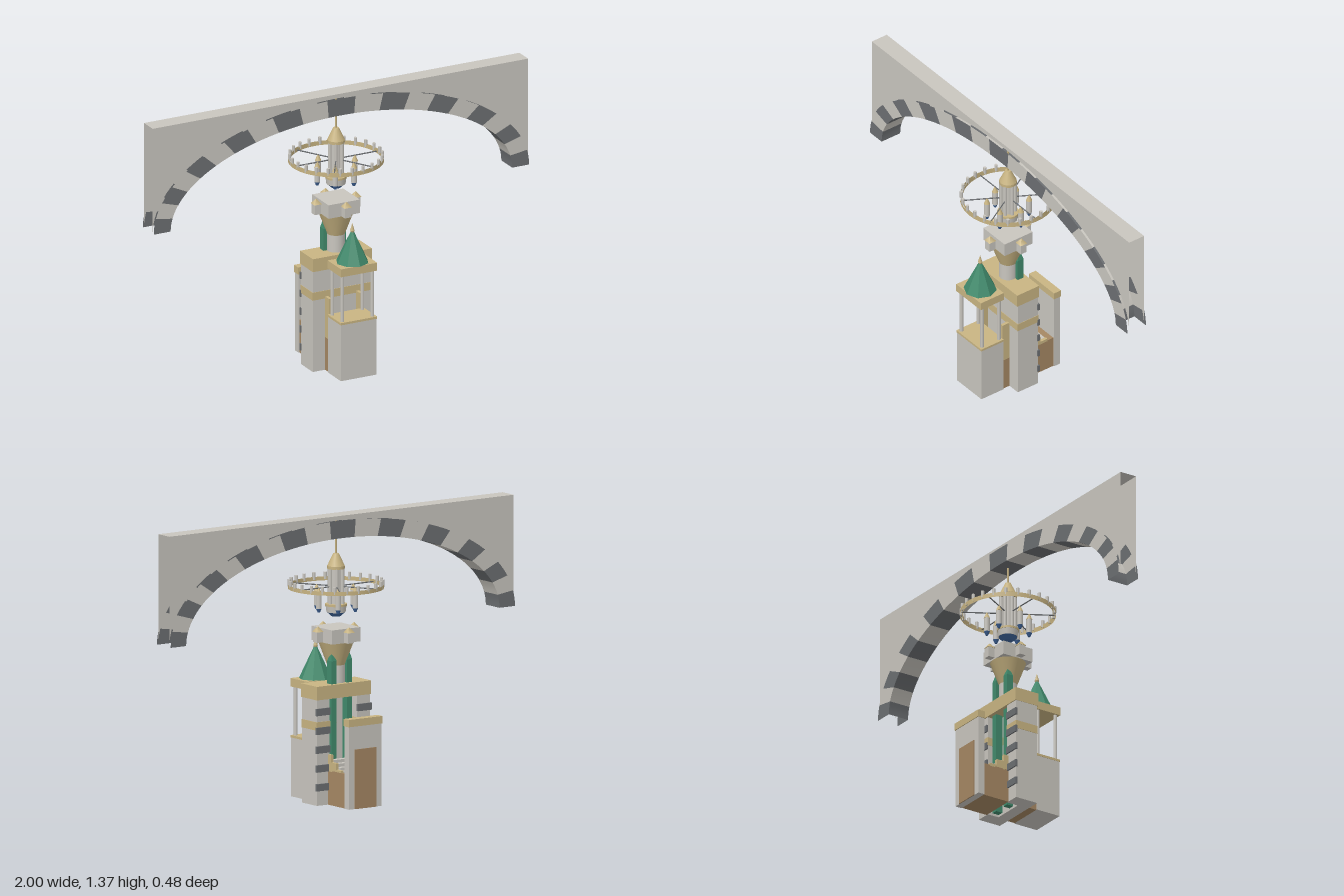
import * as THREE from 'three';

const mat = (name, color, side = THREE.FrontSide) => {
  const m = new THREE.MeshStandardMaterial({ color, side });
  m.name = name;
  return m;
};

export function createModel() {
  const root = new THREE.Group();
  const stone = mat('light stone', 0xc8c5be, THREE.DoubleSide);
  const dark = mat('dark stone', 0x6b6e71, THREE.DoubleSide);
  const sand = mat('sandstone', 0xc8b482, THREE.DoubleSide);
  const brown = mat('brown panel', 0xa58763);
  const green = mat('green roof', 0x418a6c);
  const blue = mat('blue glaze', 0x3f659c);
  green.flatShading = true;

  const add = (name, geo, m, x = 0, y = 0, z = 0, parent = root) => {
    const mesh = new THREE.Mesh(geo, m);
    mesh.name = name;
    mesh.position.set(x, y, z);
    parent.add(mesh);
    return mesh;
  };
  // box given by its limits on each axis
  const box = (name, m, x0, x1, y0, y1, z0, z1) =>
    add(name, new THREE.BoxGeometry(x1 - x0, y1 - y0, z1 - z0), m, (x0 + x1) / 2, (y0 + y1) / 2, (z0 + z1) / 2);
  // upright cylinder or cone between two heights
  const tube = (name, m, r0, r1, y0, y1, x = 0, z = 0, n = 12, parent = root) =>
    add(name, new THREE.CylinderGeometry(r1, r0, y1 - y0, n), m, x, (y0 + y1) / 2, z, parent);
  // sheet between two matching rows of points
  const sheet = (name, m, a, b) => {
    const pos = [], idx = [];
    a.forEach((p, i) => pos.push(...p, ...b[i]));
    for (let i = 0; i < a.length - 1; i++) {
      const k = i * 2;
      idx.push(k, k + 1, k + 2, k + 2, k + 1, k + 3);
    }
    const g = new THREE.BufferGeometry();
    g.setAttribute('position', new THREE.Float32BufferAttribute(pos, 3));
    g.setIndex(idx);
    g.computeVertexNormals();
    return add(name, g, m);
  };

  // Great arch: open spandrel sheets and alternating voussoirs
  const springY = 0.84, topY = 1.37, wallZ = 0.044, ringZ = 0.055;
  const outer = (t, z) => [Math.cos(t), springY + 0.51 * Math.sin(t), z];
  const inner = (t, z) => [0.91 * Math.cos(t), springY + 0.425 * Math.sin(t), z];
  const range = (t0, t1, n) => Array.from({ length: n + 1 }, (_, i) => t0 + ((t1 - t0) * i) / n);
  const whole = range(0, Math.PI, 63);
  for (const s of [1, -1]) {
    // point order follows the side so that normals face outwards
    const ts = s > 0 ? whole : [...whole].reverse();
    sheet('spandrelWall', stone, ts.map(t => [Math.cos(t), topY, s * wallZ]), ts.map(t => outer(t, s * wallZ)));
  }
  sheet('archTop', stone, [[-1, topY, -wallZ], [1, topY, -wallZ]], [[-1, topY, wallZ], [1, topY, wallZ]]);
  const count = 21;
  for (let i = 0; i < count; i++) {
    const ts = range((i / count) * Math.PI, ((i + 1) / count) * Math.PI, 3), back = [...ts].reverse();
    const m = i % 2 ? stone : dark;
    sheet('voussoirFront', m, ts.map(t => outer(t, ringZ)), ts.map(t => inner(t, ringZ)));
    sheet('voussoirBack', m, back.map(t => outer(t, -ringZ)), back.map(t => inner(t, -ringZ)));
    sheet('voussoirSoffit', m, ts.map(t => inner(t, ringZ)), ts.map(t => inner(t, -ringZ)));
  }

  // Main tower: front slab with two rear pillars around a niche
  box('towerFront', stone, -0.155, 0.155, 0, 0.51, 0, 0.06);
  box('towerBandFront', sand, -0.157, 0.157, 0.36, 0.4, 0, 0.062);
  box('towerCap', sand, -0.157, 0.157, 0.505, 0.57, -0.065, 0.065);
  for (const s of [-1, 1]) {
    const span = (a, b) => (s > 0 ? [a, b] : [-b, -a]);
    box('towerPillar', stone, ...span(0.08, 0.155), 0, 0.51, -0.06, 0);
    box('towerBandSide', sand, ...span(0.078, 0.157), 0.36, 0.4, -0.062, 0);
    for (let i = 0; i < 5; i++) {
      const y = 0.07 + i * 0.09;
      box('pillarStripe', dark, ...span(0.08, 0.16), y, y + 0.034, -0.067, -0.055);
    }
    // green pylons rising through the niche
    box('pylon', green, ...span(0.03, 0.06), 0.001, 0.68, -0.047, -0.012);
    const tip = add('pylonTip', new THREE.ConeGeometry(0.0235, 0.06, 4, 1, false, Math.PI / 4), green, s * 0.045, 0.71, -0.03);
    tip.scale.x = 0.9;
    // parapets beside the bridge and stairs
    box('bridgeParapet', sand, ...span(0.075, 0.09), 0.165, 0.37, 0.06, 0.1);
    [[-0.085, -0.06, 0.24], [-0.125, -0.085, 0.205], [-0.165, -0.125, 0.175]].forEach(([z0, z1, h]) =>
      box('stairParapet', sand, ...span(0.075, 0.09), 0.16, h, z0, z1));
  }

  // Bridge, stairs and rear gate wall
  box('bridgeBase', brown, -0.09, 0.09, 0, 0.165, 0.06, 0.1);
  box('stairBase', brown, -0.09, 0.09, 0, 0.165, -0.2, -0.06);
  for (let i = 0; i < 4; i++) box('stairStep', stone, -0.075, 0.075, 0.16, 0.17 + i * 0.015, -0.165 + i * 0.026, -0.06);
  box('gateWall', stone, -0.095, 0.095, 0, 0.4, -0.235, -0.2);
  box('gateCap', sand, -0.098, 0.098, 0.395, 0.43, -0.239, -0.198);
  box('gateDoor', brown, -0.062, 0.062, 0, 0.285, -0.239, -0.234);

  // Front pavilion
  box('pavilionBase', stone, -0.095, 0.095, 0, 0.282, 0.1, 0.23);
  box('pavilionFloor', sand, -0.097, 0.097, 0.282, 0.293, 0.098, 0.232);
  for (const x of [-0.08, 0.08]) for (const z of [0.115, 0.215]) tube('pavilionPost', stone, 0.009, 0.009, 0.29, 0.53, x, z, 8);
  box('pavilionEave', sand, -0.096, 0.096, 0.525, 0.565, 0.098, 0.234);
  tube('pavilionRoof', green, 0.079, 0.006, 0.565, 0.72, 0, 0.165, 8);
  tube('finialBase', sand, 0.005, 0.011, 0.705, 0.722, 0, 0.165, 8);
  tube('finialTip', sand, 0.011, 0, 0.722, 0.76, 0, 0.165, 8);

  // Upper shaft, flared corbel and turreted head
  tube('shaft', stone, 0.043, 0.043, 0.57, 0.67, 0, 0, 20);
  tube('corbel', sand, 0.043, 0.085, 0.655, 0.767, 0, 0, 20);
  box('head', stone, -0.083, 0.083, 0.767, 0.835, -0.083, 0.083);
  for (const [x, z] of [[1, 0], [-1, 0], [0, 1], [0, -1]]) {
    const tx = x * 0.105, tz = z * 0.105;
    box('turret', stone, tx - 0.017, tx + 0.017, 0.77, 0.82, tz - 0.017, tz + 0.017);
    add('turretRoof', new THREE.ConeGeometry(0.028, 0.026, 4, 1, false, Math.PI / 4), sand, tx, 0.833, tz);
  }

  // Hanging chandelier
  const lamp = new THREE.Group();
  lamp.name = 'chandelier';
  root.add(lamp);
  const part = (name, m, r0, r1, y0, y1, n = 16, x = 0, z = 0) => tube(name, m, r0, r1, y0, y1, x, z, n, lamp);
  part('hangingRod', sand, 0.004, 0.004, 1.17, 1.369, 8);
  part('lampRoof', sand, 0.042, 0.014, 1.125, 1.185);
  part('lampBody', stone, 0.028, 0.028, 0.91, 1.13);
  part('lampCollar', sand, 0.042, 0.042, 1.112, 1.126);
  part('lampDrum', stone, 0.046, 0.05, 0.905, 0.935);
  part('lampDrumTrim', sand, 0.052, 0.052, 0.935, 0.945);
  part('lampBowl', blue, 0.022, 0.045, 0.885, 0.906);
  add('crownRing', new THREE.CylinderGeometry(0.227, 0.227, 0.017, 48, 1, true), sand, 0, 1.028, 0, lamp);
  add('crownRingInner', new THREE.CylinderGeometry(0.216, 0.216, 0.017, 48, 1, true), sand, 0, 1.028, 0, lamp);
  for (let i = 0; i < 24; i++) {
    const a = ((i + 0.5) / 24) * Math.PI * 2;
    part('crownPeg', stone, 0.008, 0.008, 1.025, 1.06, 8, 0.22 * Math.cos(a), 0.22 * Math.sin(a));
  }
  for (let i = 0; i < 6; i++) {
    const a = (i / 6) * Math.PI * 2, c = Math.cos(a), s = Math.sin(a);
    part('lampColumn', stone, 0.009, 0.009, 0.935, 1.115, 8, 0.033 * c, 0.033 * s);
    part('lanternBody', stone, 0.014, 0.014, 0.93, 1.0, 10, 0.1 * c, 0.1 * s);
    part('lanternRoof', sand, 0.015, 0.003, 1.0, 1.03, 10, 0.1 * c, 0.1 * s);
    part('lanternTip', blue, 0.006, 0.014, 0.912, 0.93, 10, 0.1 * c, 0.1 * s);
    const spoke = part('spoke', dark, 0.003, 0.003, -0.11, 0.11, 6, 0.11 * c, 0.11 * s);
    spoke.position.y = 1.028;
    spoke.rotation.set(0, -a, Math.PI / 2);
  }
  return root;
}
